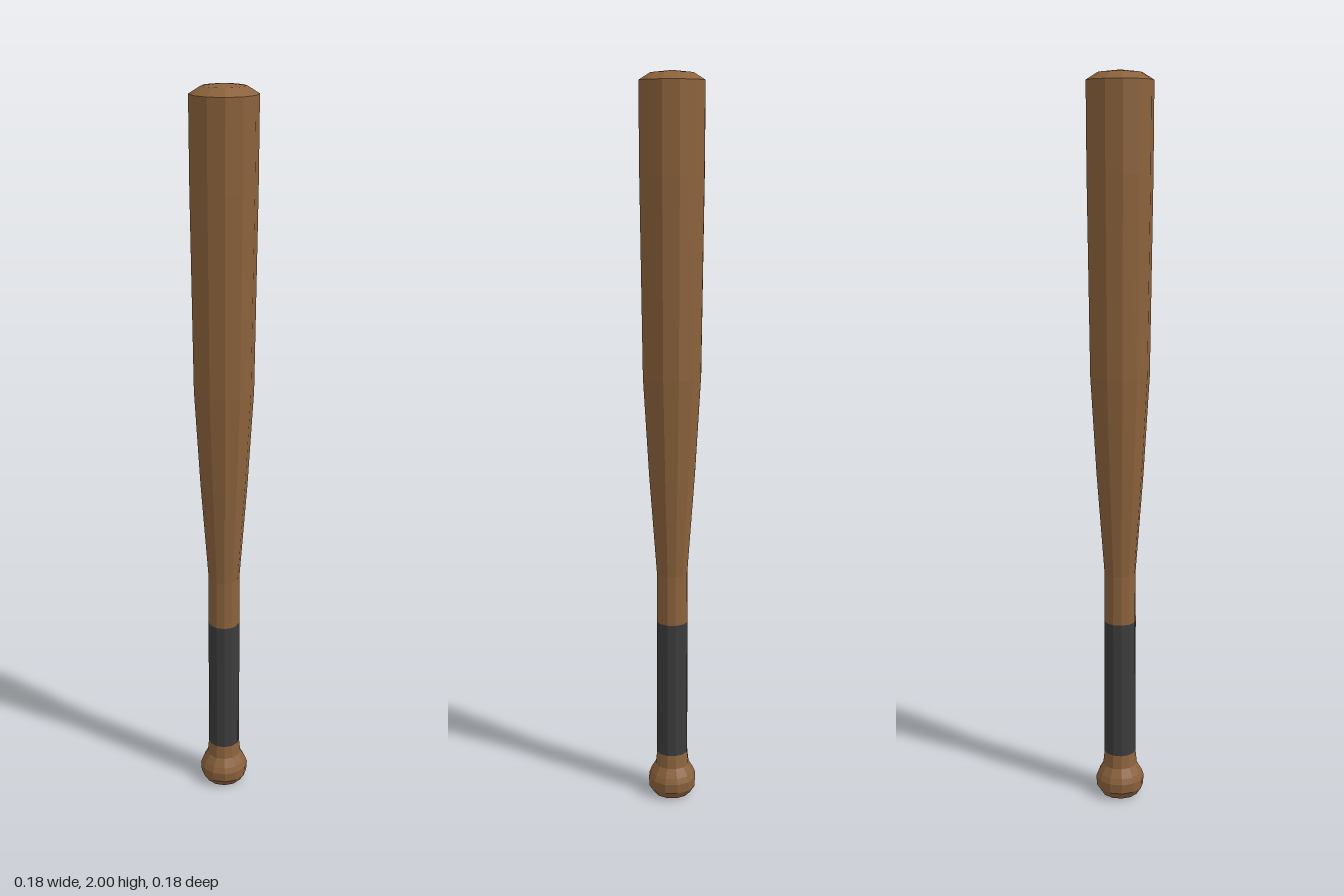
import * as THREE from 'three';

const SIDES = 12;

// Faceted solid of revolution from [radius, height] pairs, bottom to top
function turned(name, profile, material) {
  const points = profile.map(([r, y]) => new THREE.Vector2(r, y));
  const mesh = new THREE.Mesh(new THREE.LatheGeometry(points, SIDES), material);
  mesh.name = name;
  return mesh;
}

export function createModel() {
  const wood = new THREE.MeshStandardMaterial({ color: 0x8b623c, flatShading: true });
  const wrap = new THREE.MeshStandardMaterial({ color: 0x3c3c3c, flatShading: true });

  const bat = new THREE.Group();
  bat.name = 'baseballBat';

  // Rounded knob flaring out below the handle
  bat.add(turned('knob', [
    [0, 0], [0.052, 0.004], [0.066, 0.025], [0.068, 0.052],
    [0.062, 0.068], [0.048, 0.092], [0.044, 0.13],
  ], wood));

  // Dark wrapped grip
  bat.add(turned('grip', [[0.044, 0.13], [0.044, 0.52]], wrap));

  // Handle tapering out to the barrel
  bat.add(turned('barrel', [
    [0.044, 0.52], [0.043, 0.66], [0.064, 0.94], [0.08, 1.21],
    [0.087, 1.74], [0.088, 1.975],
  ], wood));

  // Shallow domed end
  bat.add(turned('barrelEnd', [[0.088, 1.975], [0.057, 1.994], [0, 2]], wood));

  return bat;
}
